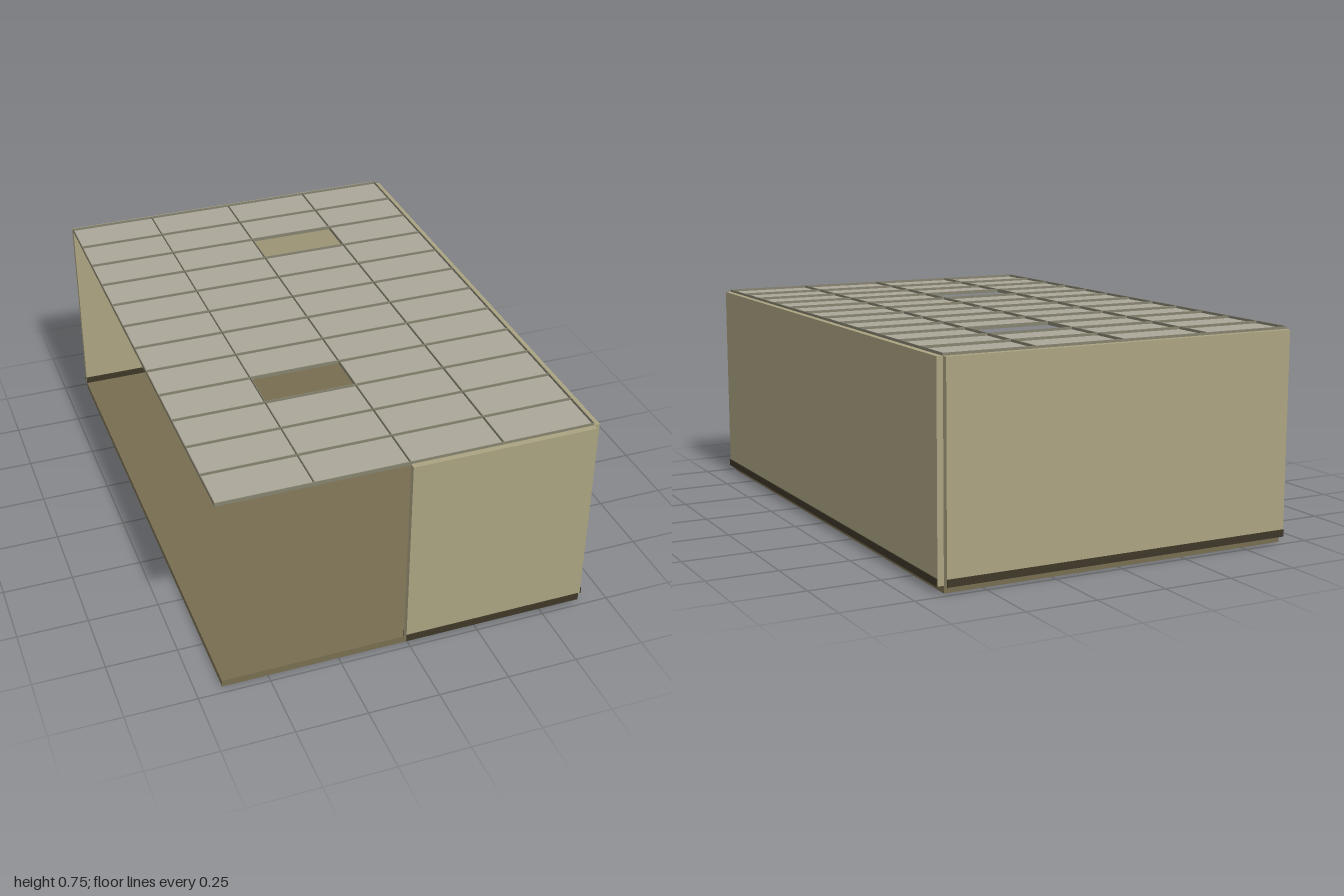
import * as THREE from 'three';

const mat = (name, color) => {
  const m = new THREE.MeshStandardMaterial({ color });
  m.name = name;
  return m;
};

export function createModel() {
  const wallPaint = mat('wall khaki', 0xaba381);
  const floorBrown = mat('floor brown', 0x776d50);
  const trimDark = mat('baseboard dark brown', 0x3d3727);
  const tileGrey = mat('ceiling tile grey', 0xaaa698);
  const gridGrey = mat('ceiling grid grey', 0x85826f);

  const model = new THREE.Group();
  model.name = 'room';

  // Box given by its limits on each axis
  const box = (name, material, x0, x1, y0, y1, z0, z1, parent = model) => {
    const mesh = new THREE.Mesh(new THREE.BoxGeometry(x1 - x0, y1 - y0, z1 - z0), material);
    mesh.position.set((x0 + x1) / 2, (y0 + y1) / 2, (z0 + z1) / 2);
    mesh.name = name;
    parent.add(mesh);
    return mesh;
  };

  const X0 = -0.66, X1 = 0.636, Z = 0.972;   // room footprint
  const FLOOR = 0.025, TOP = 0.745, BASE = 0.05;
  const T = 0.022, TRIM = 0.004;             // wall and baseboard thickness

  box('floor', floorBrown, X0, X1, 0, FLOOR, -Z, Z);

  // Walls: full back, half front and full left side, the other side stays open
  const MID = (X0 + X1) / 2;
  box('backWall', wallPaint, X0, X1, FLOOR, TOP, -Z - T, -Z);
  box('frontWall', wallPaint, MID, X1, FLOOR, TOP, Z, Z + T);
  box('sideWall', wallPaint, X1, X1 + T, FLOOR, TOP, -Z, Z);

  // Baseboards on both faces of every wall
  const trim = new THREE.Group();
  trim.name = 'baseboards';
  model.add(trim);
  for (const [name, x0, z] of [['back', X0, -Z - T], ['front', MID, Z]]) {
    box(name + 'BaseboardA', trimDark, x0, X1, FLOOR, BASE, z - TRIM, z, trim);
    box(name + 'BaseboardB', trimDark, x0, X1, FLOOR, BASE, z + T, z + T + TRIM, trim);
  }
  box('sideBaseboardInner', trimDark, X1 - TRIM, X1, FLOOR, BASE, -Z, Z, trim);
  box('sideBaseboardOuter', trimDark, X1 + T, X1 + T + TRIM, FLOOR, BASE, -Z, Z, trim);

  // Suspended ceiling: 4 x 12 tiles with two left out
  const ceiling = new THREE.Group();
  ceiling.name = 'ceiling';
  model.add(ceiling);
  const COLS = 4, ROWS = 12;
  const w = (X1 - X0) / COLS, d = 2 * Z / ROWS;
  const isOpen = (c, r) => (c === 2 && r === 2) || (c === 1 && r === 8);
  for (let c = 0; c < COLS; c++) {
    for (let r = 0; r < ROWS; r++) {
      if (isOpen(c, r)) continue;
      const x = X0 + c * w, z = -Z + r * d;
      box('ceilingTile', tileGrey, x, x + w, TOP - 0.004, TOP, z, z + d, ceiling);
    }
  }

  // Thin upright ribs between the tiles
  const H = 0.009, R = 0.0012;
  for (let c = 0; c <= COLS; c++) {
    const x = X0 + c * w;
    box('longRib', gridGrey, x - R, x + R, TOP - 0.004, TOP + H, -Z, Z, ceiling);
  }
  for (let r = 0; r <= ROWS; r++) {
    const z = -Z + r * d;
    box('crossRib', gridGrey, X0, X1, TOP - 0.004, TOP + H, z - R, z + R, ceiling);
  }

  return model;
}
